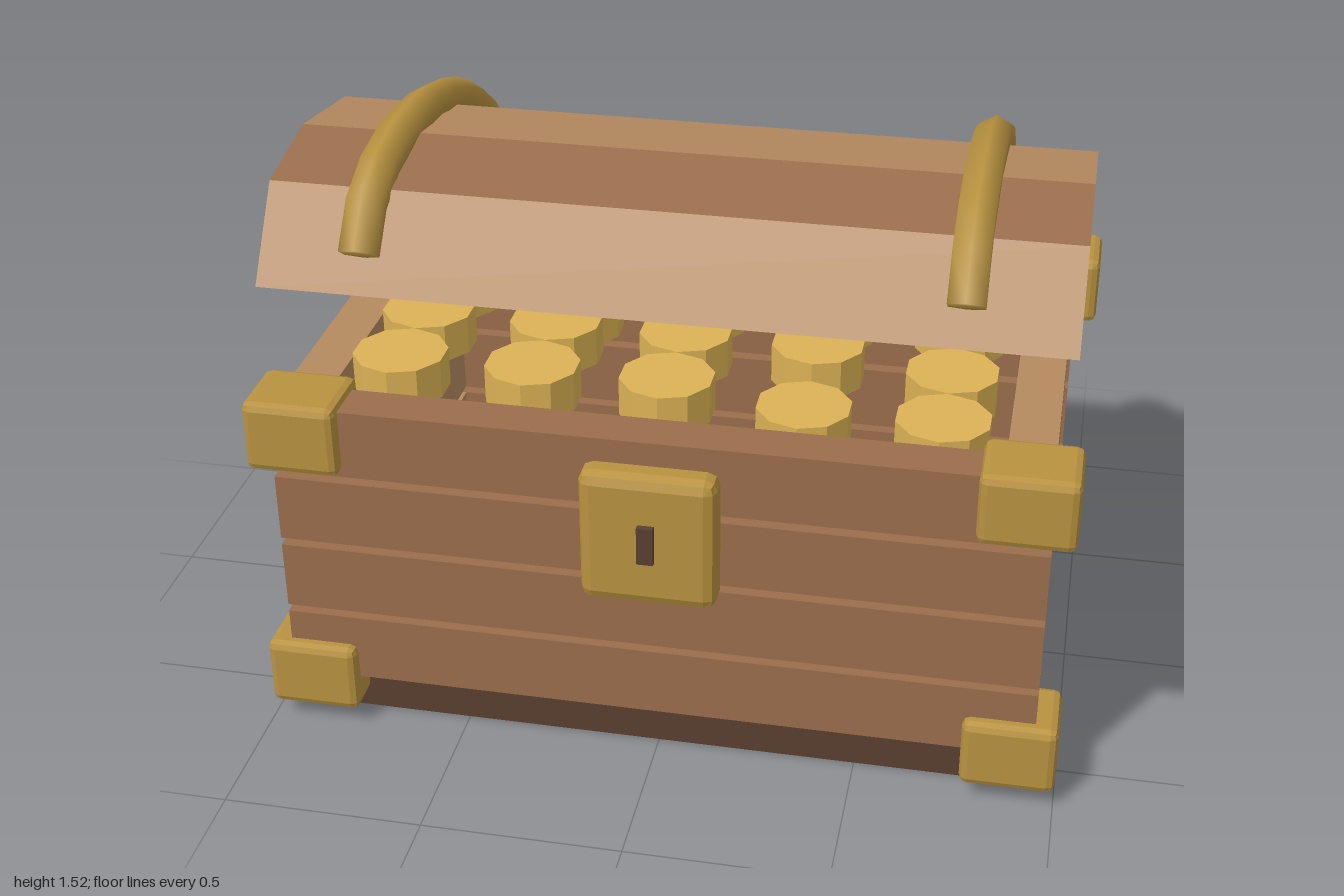
import * as THREE from 'three';
import { mergeVertices } from 'three/addons/utils/BufferGeometryUtils.js';
import { RoundedBoxGeometry } from 'three/addons/geometries/RoundedBoxGeometry.js';

const mat = (color, flatShading = true) => new THREE.MeshStandardMaterial({ color, flatShading });

export function createModel() {
  const chest = new THREE.Group();
  chest.name = 'treasureChest';

  const lightWood = mat(0xb58a5f), darkWood = mat(0x9a6e4d), baseWood = mat(0x5a4030);
  const brass = mat(0xb8923f), coinGold = mat(0xdcb255), strapBrass = mat(0xb8923f, false);
  strapBrass.side = THREE.DoubleSide;

  const add = (name, geometry, material, parent = chest) => {
    const mesh = new THREE.Mesh(geometry, material);
    mesh.name = name;
    parent.add(mesh);
    return mesh;
  };
  // Box given by its extents on each axis; a bevel gives chamfered edges
  const box = (name, material, [x0, x1], [y0, y1], [z0, z1], bevel = 0) => {
    const size = [x1 - x0, y1 - y0, z1 - z0];
    const geometry = bevel ? new RoundedBoxGeometry(...size, 1, bevel) : new THREE.BoxGeometry(...size);
    const mesh = add(name, geometry, material);
    mesh.position.set((x0 + x1) / 2, (y0 + y1) / 2, (z0 + z1) / 2);
    return mesh;
  };

  // Base and the four rows of wall planks
  box('base', baseWood, [-0.93, 0.93], [0, 0.14], [-0.605, 0.565]);
  for (const [y0, y1] of [[0.135, 0.315], [0.335, 0.515], [0.535, 0.712], [0.732, 0.912]]) {
    box('frontPlank', darkWood, [-0.943, 0.943], [y0, y1], [0.51, 0.625]);
    box('backPlank', darkWood, [-0.943, 0.943], [y0, y1], [-0.665, -0.55]);
    box('leftPlank', lightWood, [0.82, 0.935], [y0, y1], [-0.55, 0.51]);
    box('rightPlank', lightWood, [-0.935, -0.82], [y0, y1], [-0.55, 0.51]);
  }

  // Corner brackets
  for (const x of [[-1, -0.767], [0.767, 1]])
    for (const y of [[0.048, 0.232], [0.745, 0.93]])
      for (const z of [[-0.705, -0.508], [0.465, 0.66]]) box('cornerBracket', brass, x, y, z, 0.02);

  // Lock
  box('lockPlate', brass, [-0.167, 0.167], [0.495, 0.85], [0.595, 0.69], 0.03);
  box('keyhole', baseWood, [-0.02, 0.02], [0.625, 0.725], [0.66, 0.706]);

  // Coins: one letter each, H stands higher than L
  const coin = new THREE.CylinderGeometry(0.118, 0.118, 0.1, 10);
  ['HHHLL', 'HHHHL', 'HLHHH', 'LLLLL'].forEach((row, j) => {
    [...row].forEach((level, i) => {
      const mesh = add('coin', coin, coinGold);
      mesh.position.set(-0.683 + i * 0.336, level === 'H' ? 0.91 : 0.864, 0.378 - j * 0.238);
    });
  });

  // Open lid: one stave per facet between outer and inner profiles, as [z, y]
  const lid = new THREE.Group();
  lid.name = 'lid';
  chest.add(lid);
  const outer = [[0.565, 1.2], [0.415, 1.41], [0.173, 1.456], [-0.132, 1.41], [-0.405, 1.28], [-0.592, 1.12], [-0.63, 0.925]];
  const inner = [[0.553, 1.205], [0.44, 1.325], [0.2, 1.372], [-0.105, 1.33], [-0.395, 1.205], [-0.57, 1.03], [-0.597, 0.925]];
  const width = 1.93;
  for (let i = 0; i < 6; i++) {
    const corners = [outer[i], outer[i + 1], inner[i + 1], inner[i]].map(p => new THREE.Vector2(...p));
    const geometry = new THREE.ExtrudeGeometry(new THREE.Shape(corners), { depth: width, bevelEnabled: false });
    geometry.translate(0, 0, -width / 2).rotateY(-Math.PI / 2);
    add('lidStave', geometry, i % 2 ? darkWood : lightWood, lid);
  }

  // Two six-sided straps bent over the lid
  const path = new THREE.CatmullRomCurve3([
    [0.548, 1.3], [0.5, 1.37], [0.425, 1.423], [0.317, 1.457], [0.174, 1.468], [0.014, 1.461], [-0.154, 1.422],
    [-0.302, 1.367], [-0.418, 1.302], [-0.522, 1.21], [-0.602, 1.115], [-0.638, 1.025], [-0.64, 0.952],
  ].map(([z, y]) => new THREE.Vector3(0, y, z)));
  const section = new THREE.Shape([...Array(6)].map((_, i) => {
    const a = Math.PI / 6 + (i * Math.PI) / 3;
    return new THREE.Vector2(0.05 * Math.cos(a), 0.047 * Math.sin(a));
  }));
  let strap = new THREE.ExtrudeGeometry(section, { steps: 12, extrudePath: path, bevelEnabled: false });
  strap.deleteAttribute('normal');
  strap.deleteAttribute('uv');
  strap = mergeVertices(strap);
  strap.computeVertexNormals();
  for (const x of [-0.707, 0.707]) add('lidStrap', strap, strapBrass, lid).position.x = x;

  return chest;
}
